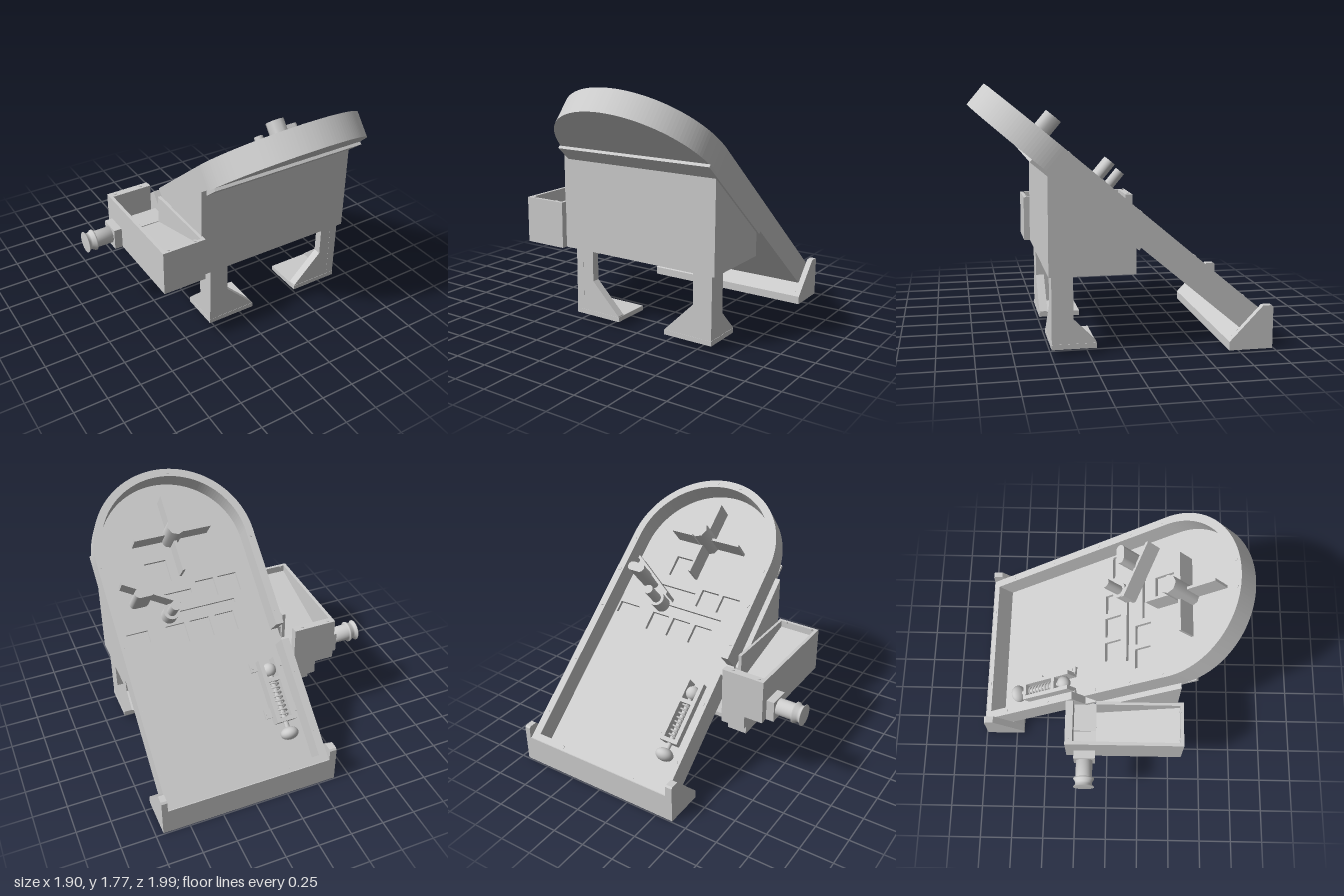
import * as THREE from 'three';

const mat = new THREE.MeshStandardMaterial({ color: 0xcccccc, side: THREE.DoubleSide });
const CX = 0.285; // centre line of the table

function add(parent, name, geo, x = 0, y = 0, z = 0) {
  const m = new THREE.Mesh(geo, mat);
  m.name = name;
  m.position.set(x, y, z);
  parent.add(m);
  return m;
}
// box given by its limits
function block(parent, name, x0, x1, y0, y1, z0, z1) {
  return add(parent, name, new THREE.BoxGeometry(x1 - x0, y1 - y0, z1 - z0),
    (x0 + x1) / 2, (y0 + y1) / 2, (z0 + z1) / 2);
}
const poly = (pts) => new THREE.Shape(pts.map(([a, b]) => new THREE.Vector2(a, b)));
const extrude = (shape, depth) =>
  new THREE.ExtrudeGeometry(shape, { depth, bevelEnabled: false, curveSegments: 40 });
// profile of [z, y] points swept from x0 to x1
function prismX(parent, name, pts, x0, x1) {
  const g = extrude(poly(pts.map(([z, y]) => [-z, y])), x1 - x0);
  g.rotateY(Math.PI / 2);
  return add(parent, name, g, x0);
}
// cylinder standing on the playfield (axis along local z)
function post(parent, name, r, x, y, n0, n1, sides = 24) {
  const g = new THREE.CylinderGeometry(r, r, n1 - n0, sides);
  g.rotateX(Math.PI / 2);
  return add(parent, name, g, x, y, (n0 + n1) / 2);
}

// Tray frame: x across, y down the slope, z away from the playfield
function buildTray() {
  const t = new THREE.Group();
  t.name = 'tray';
  t.position.set(CX, 1.63, 1.0);
  t.rotation.x = THREE.MathUtils.degToRad(-130);
  const R = 0.615, r = 0.555, L = 2.437, F = 0.028, H = 0.184;

  // floor with windows and slots
  const floor = new THREE.Shape();
  floor.moveTo(-R, R);
  floor.absarc(0, R, R, Math.PI, Math.PI * 2, false);
  floor.lineTo(R, L);
  floor.lineTo(-R, L);
  const windows = [ // x0, x1, z0, z1 seen from above
    [-0.03, 0.12, -0.025, 0.09], [0.165, 0.32, -0.025, 0.09], [0.36, 0.51, -0.025, 0.09],
    [0.645, 0.825, 0.025, 0.095], [-0.145, 0.005, 0.2, 0.31], [0.04, 0.19, 0.2, 0.31],
    [0.36, 0.53, 0.345, 0.475], [-0.07, 0.44, 0.135, 0.16], [0.235, 0.55, 0.25, 0.275],
  ];
  for (const [x0, x1, z0, z1] of windows) {
    const a = (0.981 - z1) / 0.766, b = (0.981 - z0) / 0.766;
    floor.holes.push(new THREE.Path(poly([[x0 - CX, a], [x1 - CX, a], [x1 - CX, b], [x0 - CX, b]]).getPoints()));
  }
  add(t, 'playfield', extrude(floor, F));

  // rim wall with a ball entry gap
  const rim = new THREE.Shape();
  rim.moveTo(-R, 1.38);
  rim.lineTo(-R, R);
  rim.absarc(0, R, R, Math.PI, Math.PI * 2, false);
  for (const [x, y] of [[R, L], [-R, L], [-R, 1.5], [-r, 1.5], [-r, L - 0.05], [r, L - 0.05], [r, R]]) rim.lineTo(x, y);
  rim.absarc(0, R, r, Math.PI * 2, Math.PI, true);
  rim.lineTo(-r, 1.38);
  add(t, 'rimWall', extrude(rim, H - F), 0, 0, F);

  // rim screws
  const c = (R + r) / 2;
  for (const s of [-1, 1]) {
    for (const y of [0.66, 0.95, 1.27, 1.75, 2.2]) post(t, 'rimScrew', 0.012, s * c, y, H - 0.01, H + 0.003, 10);
    post(t, 'rimScrew', 0.012, s * 0.32, L - 0.025, H - 0.01, H + 0.003, 10);
    post(t, 'rimScrew', 0.012, s * 0.1, R - Math.sqrt(c * c - 0.01), H - 0.01, H + 0.003, 10);
  }

  // backing plate under the windows
  block(t, 'backingPlate', -R, R, 0.5, 1.42, -0.022, 0);

  // spinner: octagonal hub with four paddles
  post(t, 'spinnerHub', 0.068, 0, 0.51, F, 0.317, 8);
  block(t, 'spinnerPaddle', -0.3, 0.3, 0.5, 0.52, F, 0.18);
  block(t, 'spinnerPaddle', -0.01, 0.01, 0.21, 0.81, F, 0.18);

  // round bumper, oblong bumper and slanted deflector
  post(t, 'bumperBase', 0.06, 0.175, 1.087, F, 0.15);
  post(t, 'bumperPost', 0.036, 0.175, 1.087, F, 0.312);
  const oblong = new THREE.Shape();
  oblong.absarc(-0.037, 0, 0.036, Math.PI / 2, Math.PI * 1.5, false);
  oblong.absarc(0.037, 0, 0.036, -Math.PI / 2, Math.PI / 2, false);
  add(t, 'oblongBumper', extrude(oblong, 0.314 - F), 0.365, 0.942, F);
  add(t, 'deflector', extrude(poly([[0.1, 1.02], [0.48, 0.79], [0.48, 0.815], [0.1, 1.045]]), 0.145), 0, 0, F);

  // spring plunger
  const p = new THREE.Group();
  p.name = 'plunger';
  p.position.set(-0.425, 0, 0);
  t.add(p);
  for (const s of [-1, 1]) {
    block(p, 'plungerRail', s * 0.06 - 0.015, s * 0.06 + 0.015, 1.6, 2.08, F, 0.13);
    for (const y of [1.63, 1.99]) {
      block(p, 'mountTab', s * 0.095 - 0.03, s * 0.095 + 0.03, y - 0.035, y + 0.035, F, 0.05);
      post(p, 'tabScrew', 0.012, s * 0.105, y, F, 0.056, 10);
    }
  }
  for (const y of [1.76, 2.065]) block(p, 'plungerCrossbar', -0.075, 0.075, y - 0.015, y + 0.015, F, 0.13);
  add(p, 'plungerRod', new THREE.CylinderGeometry(0.018, 0.018, 0.5, 16), 0, 1.93, 0.085);
  add(p, 'plungerTip', new THREE.SphereGeometry(0.052, 24, 16), 0, 1.68, 0.085);
  add(p, 'plungerHandle', new THREE.SphereGeometry(0.068, 24, 16), 0, 2.17, 0.09).scale.y = 0.7;
  const coil = Array.from({ length: 97 }, (_, i) => {
    const a = i / 96 * Math.PI * 16;
    return new THREE.Vector3(0.033 * Math.cos(a), 1.78 + 0.27 * i / 96, 0.085 + 0.033 * Math.sin(a));
  });
  add(p, 'plungerSpring', new THREE.TubeGeometry(new THREE.CatmullRomCurve3(coil), 192, 0.007, 6));
  return t;
}

// L-section leg with flared plates on a flat foot; s = 1 left, -1 right
function buildLeg(s) {
  const g = new THREE.Group();
  g.name = s > 0 ? 'leftLeg' : 'rightLeg';
  const X = (v) => CX + s * v;
  const span = (a, b) => [Math.min(X(a), X(b)), Math.max(X(a), X(b))];
  const front = [[0.572, 0.54], [0.572, 0.06], [0.2, 0.06], [0.2, 0.085], [0.425, 0.31], [0.425, 0.54]];
  add(g, 'frontPlate', extrude(poly(front.map(([x, y]) => [X(x), y])), 0.06), 0, 0, 0.438);
  const [a, b] = span(0.512, 0.572);
  prismX(g, 'sidePlate', [[0.499, 0.54], [0.499, 0.06], [0.2, 0.06], [0.2, 0.085], [0.355, 0.24], [0.355, 0.54]], a, b);
  const [f0, f1] = span(0.195, 0.574);
  block(g, 'foot', f0, f1, 0.045, 0.08, 0.2, 0.5);
  const [c0, c1] = span(0.425, 0.572);
  block(g, 'legCollar', c0, c1, 0.5, 0.54, 0.355, 0.499);
  return g;
}

// Ball return box with inclined floor, pull knob and drive unit below
function buildSideBox() {
  const g = new THREE.Group();
  g.name = 'ballReturn';
  const x0 = -0.695, x1 = -0.365, z0 = -0.305, z1 = 0.565, w = 0.025;
  block(g, 'outerWall', x0, x0 + w, 0.54, 0.88, z0, z1);
  block(g, 'innerWall', x1 - w, x1, 0.54, 0.88, -0.08, z1);
  block(g, 'innerWall', x1 - w, x1, 0.54, 0.88, z0, -0.25);
  block(g, 'frontWall', x0, x1, 0.54, 0.88, z1 - w, z1);
  block(g, 'backWall', x0, x1, 0.54, 0.88, z0, z0 + 0.055);
  prismX(g, 'ballRamp', [[0.55, 0.54], [0.55, 0.83], [-0.08, 0.66], [-0.28, 0.64], [-0.28, 0.54]], x0 + 0.01, x1 - 0.005);
  block(g, 'ballChute', x1 - 0.17, -0.32, 0.62, 0.665, -0.25, -0.08);
  for (const x of [x0 + 0.05, x1 - 0.07]) for (const z of [z0 + 0.027, z1 - 0.024])
    add(g, 'boxScrew', new THREE.CylinderGeometry(0.011, 0.011, 0.012, 10), x, 0.879, z);
  block(g, 'driveHousing', -0.55, -0.36, 0.43, 0.545, -0.3, -0.01);
  block(g, 'driveUnit', -0.53, -0.38, 0.34, 0.43, -0.235, -0.075);

  // pull knob, turned about the x axis
  block(g, 'knobMount', -0.755, x0, 0.54, 0.7, -0.245, -0.085);
  const profile = [[0, 0], [0.062, 0], [0.062, 0.125], [0.078, 0.13], [0.078, 0.14], [0.062, 0.165],
    [0.062, 0.18], [0.078, 0.195], [0.078, 0.2], [0, 0.2]].map(([r, h]) => new THREE.Vector2(r, h));
  const knob = new THREE.LatheGeometry(profile, 32);
  knob.rotateZ(Math.PI / 2);
  add(g, 'pullKnob', knob, -0.755, 0.625, -0.165);
  return g;
}

export function createModel() {
  const model = new THREE.Group();
  model.name = 'tiltedBallGame';
  model.add(buildTray(), buildSideBox(), buildLeg(1), buildLeg(-1));

  // wedge-topped cabinet under the tray
  prismX(model, 'cabinet', [[0.52, 0.54], [0.52, 1.222], [-0.06, 0.735], [-0.06, 0.54]], -0.33, 0.885);
  prismX(model, 'cabinetSide', [[0.52, 0.54], [0.52, 1.24], [-0.06, 0.755], [-0.06, 0.54]], -0.37, -0.33);

  // low end support with cheek plates
  prismX(model, 'endSupport', [[-0.69, 0], [-0.69, 0.06], [-0.77, 0.145], [-0.866, 0.065],
    [-0.985, 0.205], [-0.992, 0.205], [-0.992, 0]], -0.335, 0.905);
  const cheek = [[-0.69, 0], [-0.69, 0.06], [-0.92, 0.3], [-0.98, 0.3], [-0.992, 0.288], [-0.992, 0]];
  prismX(model, 'rightCheek', cheek, -0.385, -0.332);
  prismX(model, 'leftCheek', cheek, 0.902, 0.945);
  return model;
}
